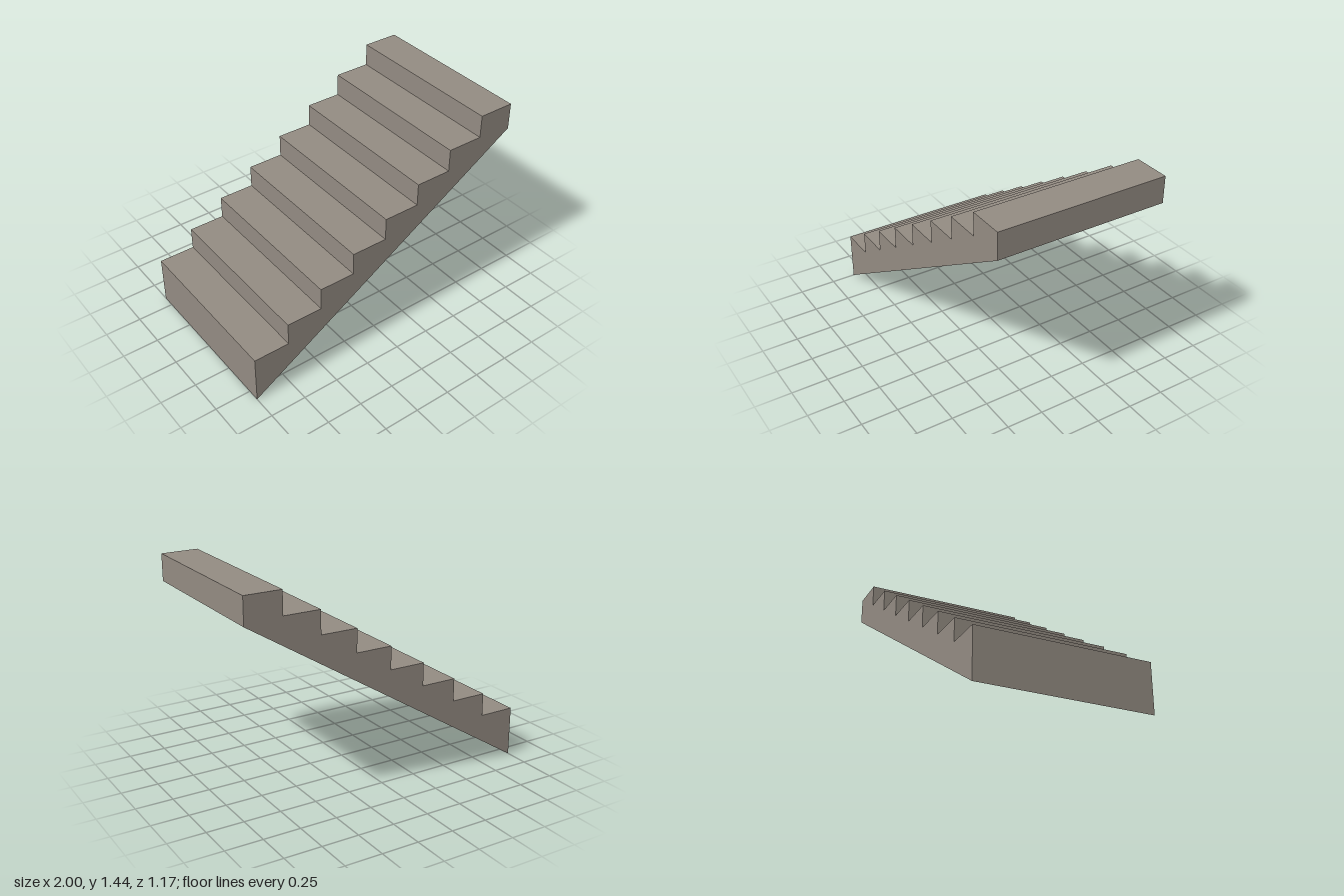
import * as THREE from 'three';

const STEPS = 8, RUN = 0.25, RISE = 0.1565;
const FIRST_TOP = 0.34, UNDERSIDE_END = 1.253, WIDTH = 1.168;

export function createModel() {
  const group = new THREE.Group();
  group.name = 'staircase';
  const stone = new THREE.MeshStandardMaterial({ color: 0x938b82 });
  stone.name = 'warm grey stone';

  // Side profile: sloping underside, then the steps from top to bottom
  const profile = new THREE.Shape();
  profile.moveTo(-1, 0);
  profile.lineTo(1, UNDERSIDE_END);
  for (let i = STEPS - 1; i >= 0; i--) {
    const top = FIRST_TOP + i * RISE;
    profile.lineTo(-1 + (i + 1) * RUN, top);
    profile.lineTo(-1 + i * RUN, top);
  }
  profile.closePath();

  // Solid flight of steps, extruded across its width
  const geometry = new THREE.ExtrudeGeometry(profile, { depth: WIDTH, bevelEnabled: false });
  geometry.translate(0, 0, -WIDTH / 2);
  const flight = new THREE.Mesh(geometry, stone);
  flight.name = 'stairFlight';
  group.add(flight);
  return group;
}
